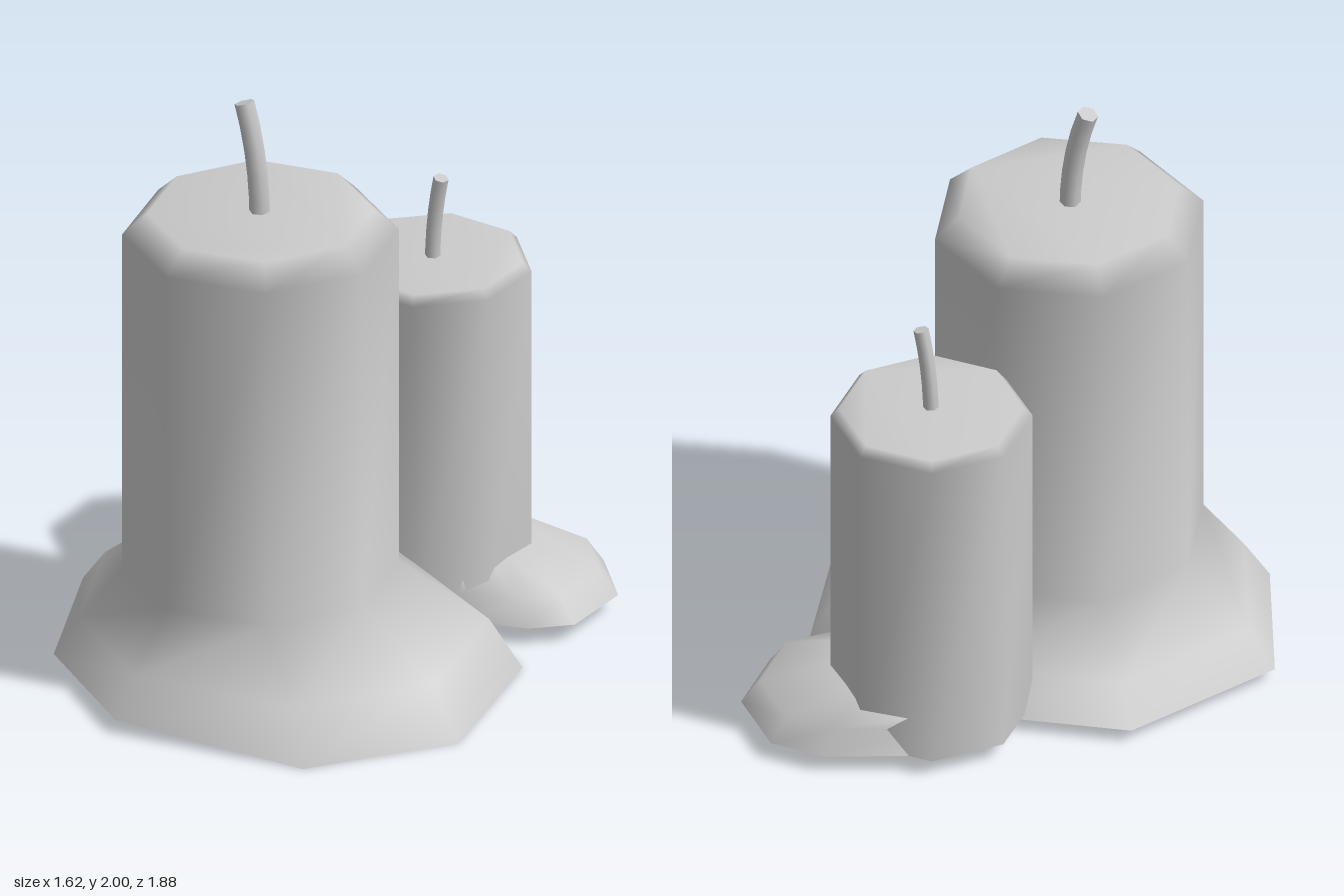
import * as THREE from 'three';

const material = new THREE.MeshStandardMaterial({ color: 0xcccccc });

// Closed skin through rings listed top to bottom; rings wind from +x towards +z.
function loft(name, rings, fanStart = 0) {
  const n = rings[0].length;
  const pos = rings.flat(2);
  const index = [];
  for (let r = 0; r < rings.length - 1; r++) {
    for (let i = 0; i < n; i++) {
      const j = (i + 1) % n;
      const ti = r * n + i, tj = r * n + j, bi = ti + n, bj = tj + n;
      index.push(bj, bi, ti, bj, ti, tj);
    }
  }
  // The lid shares the rim vertices, the underside has its own
  const last = rings[rings.length - 1];
  const under = pos.length / 3;
  pos.push(...last.flat());
  for (let k = 1; k < n - 1; k++) {
    const a = (fanStart + k) % n, b = (fanStart + k + 1) % n;
    index.push(0, k + 1, k);
    index.push(under + fanStart, under + a, under + b);
  }
  const geometry = new THREE.BufferGeometry();
  geometry.setAttribute('position', new THREE.Float32BufferAttribute(pos, 3));
  geometry.setIndex(index);
  geometry.computeVertexNormals();
  const mesh = new THREE.Mesh(geometry, material);
  mesh.name = name;
  return mesh;
}

// Eight-sided ring around a candle axis
function octagon([cx, cz], radius, y, turn = 0) {
  return Array.from({ length: 8 }, (_, i) => {
    const a = turn + (i * Math.PI) / 4;
    return [cx + radius * Math.cos(a), y, cz + radius * Math.sin(a)];
  });
}

// Shrinks a ring towards an axis and lifts it to a height
function shrink(ring, [cx, cz], scale, y) {
  return ring.map(([x, , z]) => [cx + (x - cx) * scale, y, cz + (z - cz) * scale]);
}

// Bent six-sided wick with closed ends
function wick(name, points, radius) {
  const group = new THREE.Group();
  group.name = name;
  const curve = new THREE.QuadraticBezierCurve3(...points.map((p) => new THREE.Vector3(...p)));
  group.add(new THREE.Mesh(new THREE.TubeGeometry(curve, 5, radius, 6), material));
  const cap = new THREE.Mesh(new THREE.CircleGeometry(radius, 6), material);
  cap.position.copy(curve.getPoint(1));
  cap.lookAt(curve.getPoint(1).add(curve.getTangent(1)));
  group.add(cap);
  return group;
}

export function createModel() {
  const model = new THREE.Group();
  model.name = 'candles';

  // Tall candle, flaring into an uneven pool of wax
  const tall = [-0.05, 0.245];
  const pool = [
    [0.81, 0, 0.245], [0.57, 0, 0.72], [-0.05, 0.045, 0.935], [-0.52, 0.04, 0.715],
    [-0.81, 0.045, 0.26], [-0.59, 0.045, -0.27], [-0.05, 0.045, -0.475], [0.6, 0, -0.29],
  ];
  model.add(loft('tallCandle', [
    octagon(tall, 0.365, 1.62),
    octagon(tall, 0.445, 1.545),
    octagon(tall, 0.445, 0.35),
    shrink(pool, tall, 0.875, 0.17),
    pool,
  ], 1));
  model.add(wick('tallWick', [[-0.053, 1.58, 0.245], [-0.053, 1.8, 0.245], [-0.12, 1.987, 0.245]], 0.034));

  // Short candle
  const short = [0.03, -0.485];
  const turn = THREE.MathUtils.degToRad(14);
  model.add(loft('shortCandle', [
    octagon(short, 0.297, 1.22, turn),
    octagon(short, 0.325, 1.19, turn),
    octagon(short, 0.325, 0.06, turn),
  ]));
  model.add(wick('shortWick', [[0.035, 1.18, -0.48], [0.035, 1.35, -0.48], [0.072, 1.51, -0.48]], 0.025));

  // Wax spilled to one side of the short candle
  const spill = [
    [-0.1, -0.75], [0.18, -0.92], [0.36, -0.94], [0.56, -0.79],
    [0.6, -0.54], [0.51, -0.42], [0.33, -0.32], [0.1, -0.2],
  ].map(([x, z]) => [x, 0.06, z]);
  const collar = spill.map(([x, , z]) => {
    const a = Math.atan2(z - short[1], x - short[0]);
    return [short[0] + 0.3 * Math.cos(a), 0.22, short[1] + 0.3 * Math.sin(a)];
  });
  model.add(loft('spilledWax', [collar, shrink(spill, short, 0.9, 0.145), spill]));

  return model;
}
